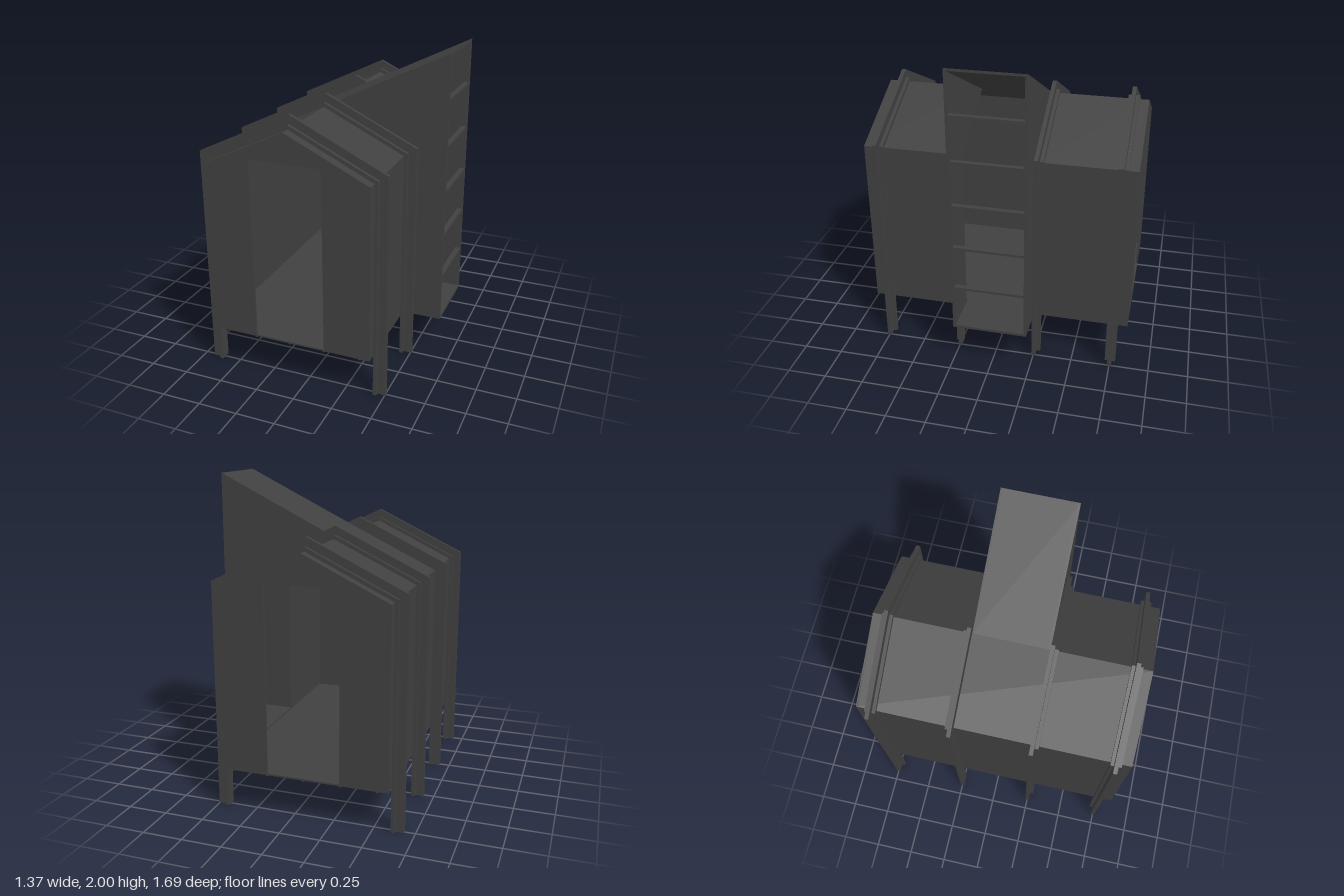
import * as THREE from 'three';

const RIDGE_X = -0.09, SLOPE = 0.48, HALF = 0.52, APEX = 1.62, FLOOR = 0.28;
const LENGTH = 1.69, T = 0.012, BAY = 0.236, FRONT_X = 0.682;
const EAVE_Y = APEX - SLOPE * HALF;
const material = new THREE.MeshStandardMaterial({ color: 0x404040, side: THREE.DoubleSide });

const toPoints = (list) => list.map(([x, y]) => new THREE.Vector2(x, y));

// Gable outline from one foot over the ridge to the other foot
const gable = (half, apex, foot) => [
  [RIDGE_X - half, foot], [RIDGE_X - half, apex - SLOPE * half], [RIDGE_X, apex],
  [RIDGE_X + half, apex - SLOPE * half], [RIDGE_X + half, foot],
];

export function createModel() {
  const model = new THREE.Group();

  const add = (name, geometry) => {
    const mesh = new THREE.Mesh(geometry, material);
    mesh.name = name;
    model.add(mesh);
  };
  // Profile in x and y, extruded between two z positions
  const slab = (name, outline, z0, z1, hole) => {
    const shape = new THREE.Shape(toPoints(outline));
    if (hole) shape.holes.push(new THREE.Path(toPoints(hole)));
    const geometry = new THREE.ExtrudeGeometry(shape, { depth: z1 - z0, bevelEnabled: false });
    add(name, geometry.translate(0, 0, z0));
  };
  const box = (name, x0, x1, y0, y1, z0, z1) => {
    const geometry = new THREE.BoxGeometry(x1 - x0, y1 - y0, z1 - z0);
    add(name, geometry.translate((x0 + x1) / 2, (y0 + y1) / 2, (z0 + z1) / 2));
  };

  const left = RIDGE_X - HALF, right = RIDGE_X + HALF, end = LENGTH / 2;

  // Floor and the thin battens beneath it
  box('floor', left, right, FLOOR - 0.005, FLOOR + 0.005, -end, end);
  for (let i = -2; i <= 2; i++) {
    const x = RIDGE_X + i * 0.2275;
    box('floorBatten', x - 0.008, x + 0.008, FLOOR - 0.011, FLOOR - 0.004, -end, end);
  }

  // Closed long wall with its roof slope
  slab('closedWallAndRoof', [
    [left, FLOOR], [left, EAVE_Y], [RIDGE_X, APEX], [RIDGE_X, APEX - T],
    [left + T, EAVE_Y - T + SLOPE * T], [left + T, FLOOR],
  ], -end, end);

  // Other long wall and roof slope, interrupted by the tall bay
  const broken = [
    [right, FLOOR], [right, EAVE_Y], [RIDGE_X, APEX], [RIDGE_X, APEX - T],
    [right - T, EAVE_Y - T + SLOPE * T], [right - T, FLOOR],
  ];
  slab('openWallAndRoof', broken, BAY, end);
  slab('openWallAndRoof', broken, -end, -BAY);

  // End walls with doorways
  const doorway = [[-0.315, FLOOR + 0.001], [0.137, FLOOR + 0.001], [0.137, 1.435], [-0.315, 1.435]];
  slab('frontWall', gable(HALF, APEX, FLOOR), end - T, end, doorway);
  slab('backWall', gable(HALF, APEX, FLOOR), -end, -end + T, doorway);

  // Tall bay: cheeks, roof continuing the far slope, and base
  const bayTop = 2.0, rise = (bayTop - APEX) / (FRONT_X - RIDGE_X);
  const cheek = [
    [right - T, FLOOR], [FRONT_X, FLOOR], [FRONT_X, bayTop], [RIDGE_X, APEX], [right - T, EAVE_Y],
  ];
  const inner = BAY - 0.016;
  slab('bayCheek', cheek, inner, BAY);
  slab('bayCheek', cheek, -BAY, -inner);
  slab('bayRoof', [
    [RIDGE_X, APEX], [FRONT_X, bayTop], [FRONT_X, bayTop - 0.016], [RIDGE_X, APEX - 0.016],
  ], -BAY, BAY);
  box('bayBase', right - T, FRONT_X, FLOOR, FLOOR + 0.016, -BAY, BAY);

  // Slim rails across the open face of the bay
  for (let i = 0; i < 5; i++) {
    const y = 0.575 + i * 0.286;
    box('bayRail', FRONT_X - 0.035, FRONT_X - 0.002, y - 0.008, y + 0.008, -inner, inner);
  }

  // Portal frames: posts and rafters in one band around the house
  const portal = (name, half, apex, z0, z1) => slab(name,
    [...gable(half, apex, 0), ...gable(HALF, APEX, 0).reverse()], z0, z1);
  const OUTER = [0.595, 1.7], STEP = [0.543, 1.646];
  for (const s of [-1, 1]) {
    // End frames: tall strip between two lower strips
    const z = s * 0.75;
    portal('endFrameCore', ...OUTER, z - 0.0125, z + 0.0125);
    portal('endFrameSide', ...STEP, z - 0.034, z - 0.0125);
    portal('endFrameSide', ...STEP, z + 0.0125, z + 0.034);
    // Bay frames: tall strip beside the bay, lower strip beyond it
    const span = (a, b) => (s > 0 ? [a, b] : [-b, -a]);
    portal('bayFrameCore', ...OUTER, ...span(BAY + 0.001, 0.262));
    portal('bayFrameSide', ...STEP, ...span(0.262, 0.286));
  }

  return model;
}
